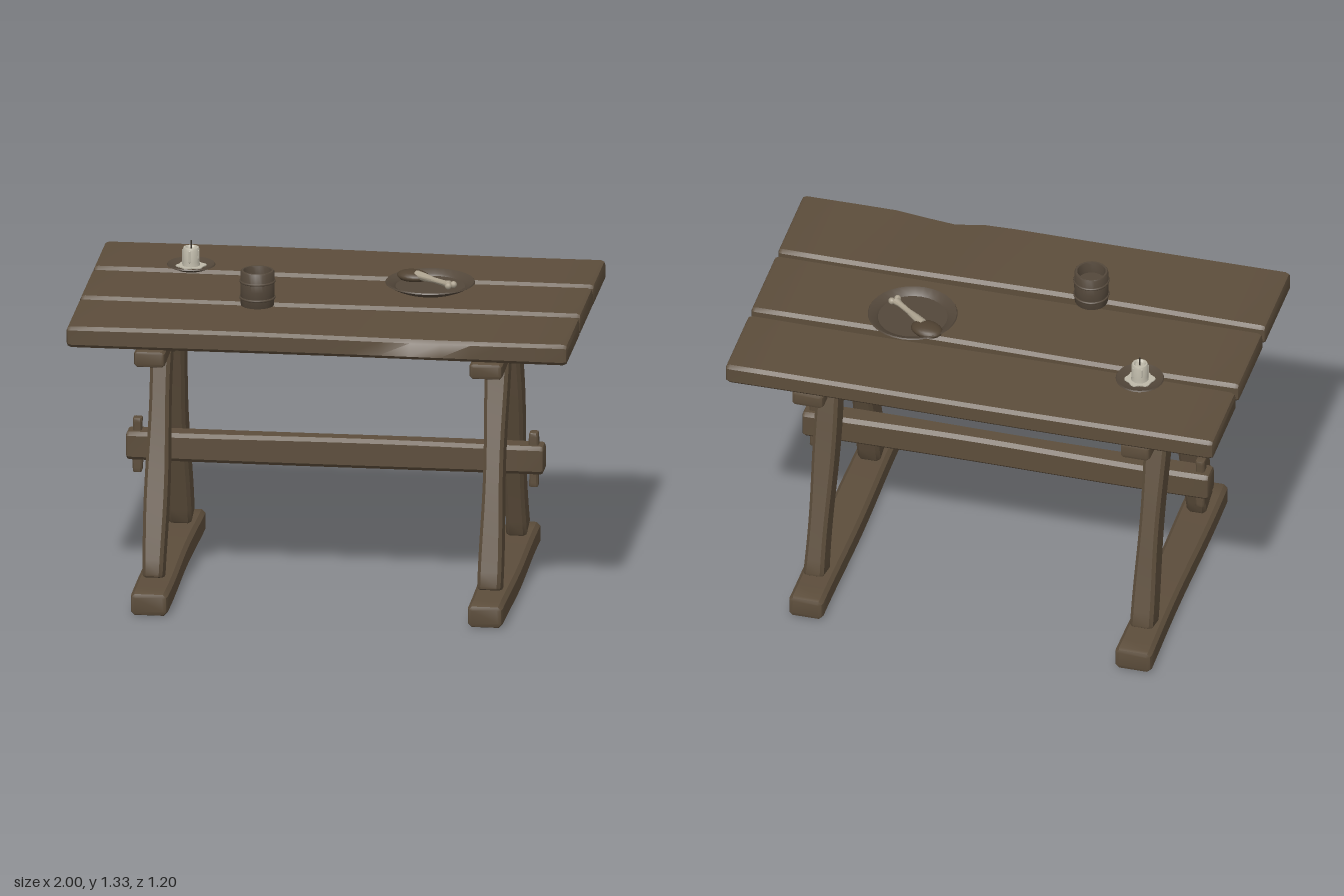
import * as THREE from 'three';
import { mergeVertices, toCreasedNormals } from 'three/addons/utils/BufferGeometryUtils.js';

const mat = (name, color) => {
  const m = new THREE.MeshStandardMaterial({ color });
  m.name = name;
  return m;
};

// Chamfered hand-hewn timber along local z, gently bent; extra(p) adds local wear
function beamGeometry(w, h, len, bevel, seed, amp, extra) {
  const c = Math.min(w, h) * 0.16, x = w / 2, y = h / 2;
  const pts = [[-x + c, -y], [x - c, -y], [x, -y + c], [x, y - c], [x - c, y], [-x + c, y], [-x, y - c], [-x, -y + c]];
  const shape = new THREE.Shape(pts.map(p => new THREE.Vector2(...p)));
  let g = new THREE.ExtrudeGeometry(shape, {
    depth: len - 2 * bevel, steps: 16, bevelEnabled: true,
    bevelThickness: bevel, bevelSize: bevel, bevelOffset: -bevel, bevelSegments: 2,
  });
  g.translate(0, 0, bevel - len / 2);
  const pos = g.attributes.position, p = new THREE.Vector3();
  for (let i = 0; i < pos.count; i++) {
    p.fromBufferAttribute(pos, i);
    const t = p.z / len;
    const side = Math.sign(p.x) * 1.3, up = Math.sign(p.y) * 0.9;
    p.x += amp * Math.sin(t * 7 + seed + side);
    p.y += amp * 0.5 * Math.sin(t * 6 + seed * 2 + up);
    if (extra) extra(p);
    pos.setXYZ(i, p.x, p.y, p.z);
  }
  g.deleteAttribute('normal');
  g.deleteAttribute('uv');
  g = mergeVertices(g, 1e-4);
  return toCreasedNormals(g, 0.6);
}

export function createModel() {
  const model = new THREE.Group();
  model.name = 'tavernTable';
  const wood = mat('wood', 0x5c4d3b);
  const dishWood = mat('darkWood', 0x53473a);
  const meatMat = mat('roastMeat', 0x504232);
  const wax = mat('wax', 0xbdb8a8);
  const boneMat = mat('bone', 0xa99f8c);
  const wickMat = mat('wick', 0x39332b);

  const add = (name, geo, material, x = 0, y = 0, z = 0, parent = model) => {
    const m = new THREE.Mesh(geo, material);
    m.name = name;
    m.position.set(x, y, z);
    parent.add(m);
    return m;
  };
  const lathe = (pts, seg = 28) =>
    toCreasedNormals(new THREE.LatheGeometry(pts.map(p => new THREE.Vector2(...p)), seg), 0.6);

  // Table top: three planks, the front one with a worn hollow in its upper edge
  const hollow = p => {
    if (p.x > -0.1 || p.y < 0) return;
    const k = Math.exp(-(((p.z - 0.4) / 0.11) ** 2));
    p.x += 0.025 * k;
    p.y -= 0.008 * k;
  };
  [['backPlank', -0.418, 0.365, 1], ['middlePlank', -0.017, 0.372, 2.4], ['frontPlank', 0.398, 0.39, 4]]
    .forEach(([name, z, width, seed]) => {
      const g = beamGeometry(width, 0.085, 2, 0.02, seed, 0.003, name === 'frontPlank' ? hollow : null);
      add(name, g, wood, 0, 1.143, z).rotation.y = Math.PI / 2;
    });

  // Trestles: cross support, foot, two splayed legs with pegs
  for (const s of [-1, 1]) {
    const trestle = new THREE.Group();
    trestle.name = s < 0 ? 'rightTrestle' : 'leftTrestle';
    trestle.position.x = s * 0.67;
    model.add(trestle);
    add('crossSupport', beamGeometry(0.124, 0.068, 1.137, 0.014, s + 2, 0.003), wood, 0, 1.055, 0, trestle);
    add('foot', beamGeometry(0.144, 0.094, 1.187, 0.016, s + 5, 0.003), wood, 0, 0.05, 0, trestle);
    for (const f of [-1, 1]) {
      const top = new THREE.Vector3(0, 1.006, f * 0.163), low = new THREE.Vector3(0, 0.112, f * 0.422);
      const leg = add('leg', beamGeometry(0.086, 0.12, top.distanceTo(low), 0.012, s + f * 2, 0.004), wood, 0, 0, 0, trestle);
      leg.position.addVectors(top, low).multiplyScalar(0.5);
      leg.rotation.x = -Math.atan2(top.y - low.y, top.z - low.z);
      const peg = add('legPeg', new THREE.CylinderGeometry(0.014, 0.014, 0.106, 10), wood, 0, 0.99, f * 0.183, trestle);
      peg.rotation.z = Math.PI / 2;
    }
    // Wedge locking the stretcher
    const wedge = add('stretcherWedge', beamGeometry(0.038, 0.044, 0.225, 0.006, s, 0.002), wood, s * 0.79, 0.533, 0);
    wedge.rotation.x = Math.PI / 2;
  }

  // Long stretcher between the trestles
  add('stretcher', beamGeometry(0.092, 0.118, 1.665, 0.014, 3, 0.004), wood, 0, 0.536, 0).rotation.y = Math.PI / 2;

  // Mug with hoops
  const mug = new THREE.Group();
  mug.name = 'mug';
  mug.position.set(-0.287, 1.183, 0.2);
  model.add(mug);
  add('mugBody', lathe([[0, 0], [0.063, 0], [0.066, 0.006], [0.068, 0.07], [0.067, 0.142], [0.064, 0.147],
    [0.056, 0.147], [0.054, 0.14], [0.053, 0.1], [0, 0.1]]), dishWood, 0, 0, 0, mug);
  for (const y of [0.036, 0.103]) {
    add('mugHoop', new THREE.TorusGeometry(0.067, 0.005, 8, 28), dishWood, 0, y, 0, mug).rotation.x = Math.PI / 2;
  }

  // Plate with a roast leg
  add('plate', lathe([[0, 0], [0.115, 0], [0.145, 0.012], [0.178, 0.03], [0.175, 0.035], [0.145, 0.022],
    [0.138, 0.014], [0, 0.012]], 32), dishWood, 0.362, 1.184, -0.106);
  const meat = add('roastMeat', new THREE.SphereGeometry(1, 20, 12), meatMat, 0.282, 1.212, -0.19);
  meat.scale.set(0.067, 0.024, 0.05);
  meat.rotation.y = -0.3;
  const a = new THREE.Vector3(0.3, 1.222, -0.172), b = new THREE.Vector3(0.452, 1.222, -0.046);
  const bone = add('bone', lathe([[0, 0], [0.018, 0], [0.016, 0.05], [0.011, 0.1], [0.012, 0.16], [0.017, 0.185], [0, 0.2]], 12), boneMat);
  bone.position.copy(a);
  bone.quaternion.setFromUnitVectors(new THREE.Vector3(0, 1, 0), b.clone().sub(a).normalize());
  for (const k of [-1, 1]) {
    add('boneKnuckle', new THREE.SphereGeometry(0.014, 10, 8), boneMat, b.x - k * 0.009, b.y, b.z + k * 0.011);
  }

  // Candle on a small dish
  const candle = new THREE.Group();
  candle.name = 'candle';
  candle.position.set(-0.612, 1.184, -0.27);
  model.add(candle);
  add('candleDish', lathe([[0, 0], [0.06, 0], [0.096, 0.016], [0.093, 0.021], [0.062, 0.01], [0, 0.008]]), dishWood, 0, 0, 0, candle);
  add('candleWax', lathe([[0.036, 0.008], [0.033, 0.03], [0.034, 0.078], [0.03, 0.088], [0.024, 0.089], [0.018, 0.081], [0, 0.08]], 16), wax, 0, 0, 0, candle);

  // Melted wax pooled round the base
  const pool = new THREE.Shape();
  for (let i = 0; i < 32; i++) {
    const t = (i / 32) * Math.PI * 2, r = 0.054 + 0.005 * Math.sin(t * 6) + 0.003 * Math.sin(t * 2 + 1);
    pool[i ? 'lineTo' : 'moveTo'](r * Math.cos(t), r * Math.sin(t));
  }
  add('waxPool', new THREE.ExtrudeGeometry(pool, { depth: 0.008, bevelEnabled: false }), wax, 0, 0.006, 0, candle).rotation.x = -Math.PI / 2;
  for (let i = 0; i < 5; i++) {
    const t = i * 1.26 + 0.4, l = 0.03 + 0.012 * (i % 3);
    add('waxDrip', new THREE.CapsuleGeometry(0.005, l, 4, 8), wax, 0.031 * Math.cos(t), 0.076 - l / 2, 0.031 * Math.sin(t), candle);
  }
  add('wick', new THREE.CylinderGeometry(0.003, 0.003, 0.036, 8), wickMat, 0, 0.097, 0, candle);

  return model;
}
